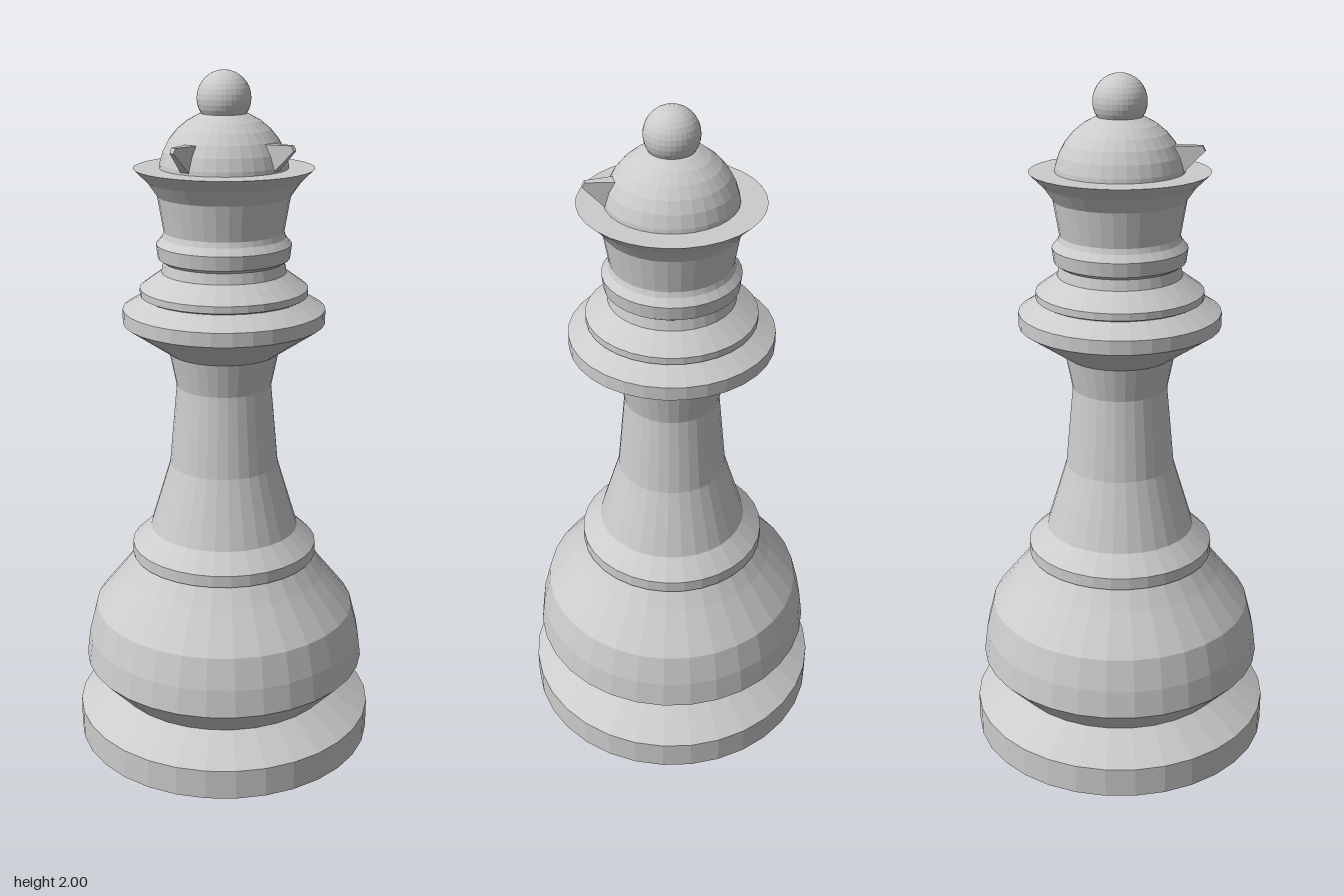
import * as THREE from 'three';

const SIDES = 32;

export function createModel() {
  const group = new THREE.Group();
  const material = new THREE.MeshStandardMaterial({ color: 0xcccccc, flatShading: true, side: THREE.DoubleSide });

  const add = (name, geometry) => {
    const mesh = new THREE.Mesh(geometry, material);
    mesh.name = name;
    group.add(mesh);
    return mesh;
  };
  // Turned section from [radius, height] pairs, bottom to top
  const turned = (name, profile) =>
    add(name, new THREE.LatheGeometry(profile.map(([r, y]) => new THREE.Vector2(r, y)), SIDES));

  // Foot with a bevelled top
  turned('base', [[0, 0], [0.447, 0], [0.447, 0.09], [0.34, 0.16]]);

  // Rounded belly
  turned('belly', [[0.34, 0.16], [0.423, 0.25], [0.413, 0.33], [0.39, 0.42], [0.302, 0.53], [0.263, 0.585]]);

  // Thin ring and the waisted stem above it
  turned('waistRing', [[0.263, 0.585], [0.275, 0.585], [0.275, 0.62], [0.22, 0.672]]);
  turned('stem', [[0.22, 0.672], [0.16, 0.87], [0.138, 1.11], [0.158, 1.21]]);

  // Wide collar with stepped rings
  turned('collar', [[0.158, 1.21], [0.29, 1.3], [0.29, 1.34], [0.23, 1.375],
    [0.24, 1.38], [0.24, 1.4], [0.178, 1.445]]);
  turned('neckRing', [[0.178, 1.445], [0.172, 1.475], [0.187, 1.485], [0.192, 1.525], [0.175, 1.545]]);

  // Flared crown with a flat top
  turned('crown', [[0.175, 1.545], [0.17, 1.56], [0.187, 1.66], [0.215, 1.7], [0.253, 1.737], [0, 1.737]]);

  // Dome and finial
  const dome = new THREE.SphereGeometry(0.183, SIDES, 8, 0, Math.PI * 2, 0, Math.PI / 2);
  add('dome', dome).position.y = 1.713;
  add('finial', new THREE.SphereGeometry(0.075, SIDES, 16)).position.y = 1.925;

  // Two crown points: a wedge drawn in (radius, height), narrowing outwards
  const outline = [[0.13, 1.735], [0.172, 1.735], [0.236, 1.8], [0.228, 1.814], [0.13, 1.812]];
  const shape = new THREE.Shape(outline.map(([r, y]) => new THREE.Vector2(r, y)));
  [['crownPointFront', -1.31], ['crownPointRight', -2.86]].forEach(([name, angle]) => {
    const point = new THREE.ExtrudeGeometry(shape, { depth: 2, bevelEnabled: false });
    const p = point.attributes.position;
    for (let i = 0; i < p.count; i++) {
      const halfWidth = THREE.MathUtils.mapLinear(p.getX(i), 0.14, 0.236, 0.02, 0.006);
      p.setZ(i, (p.getZ(i) - 1) * halfWidth);
    }
    point.computeVertexNormals();
    add(name, point).rotation.y = angle;
  });

  return group;
}
